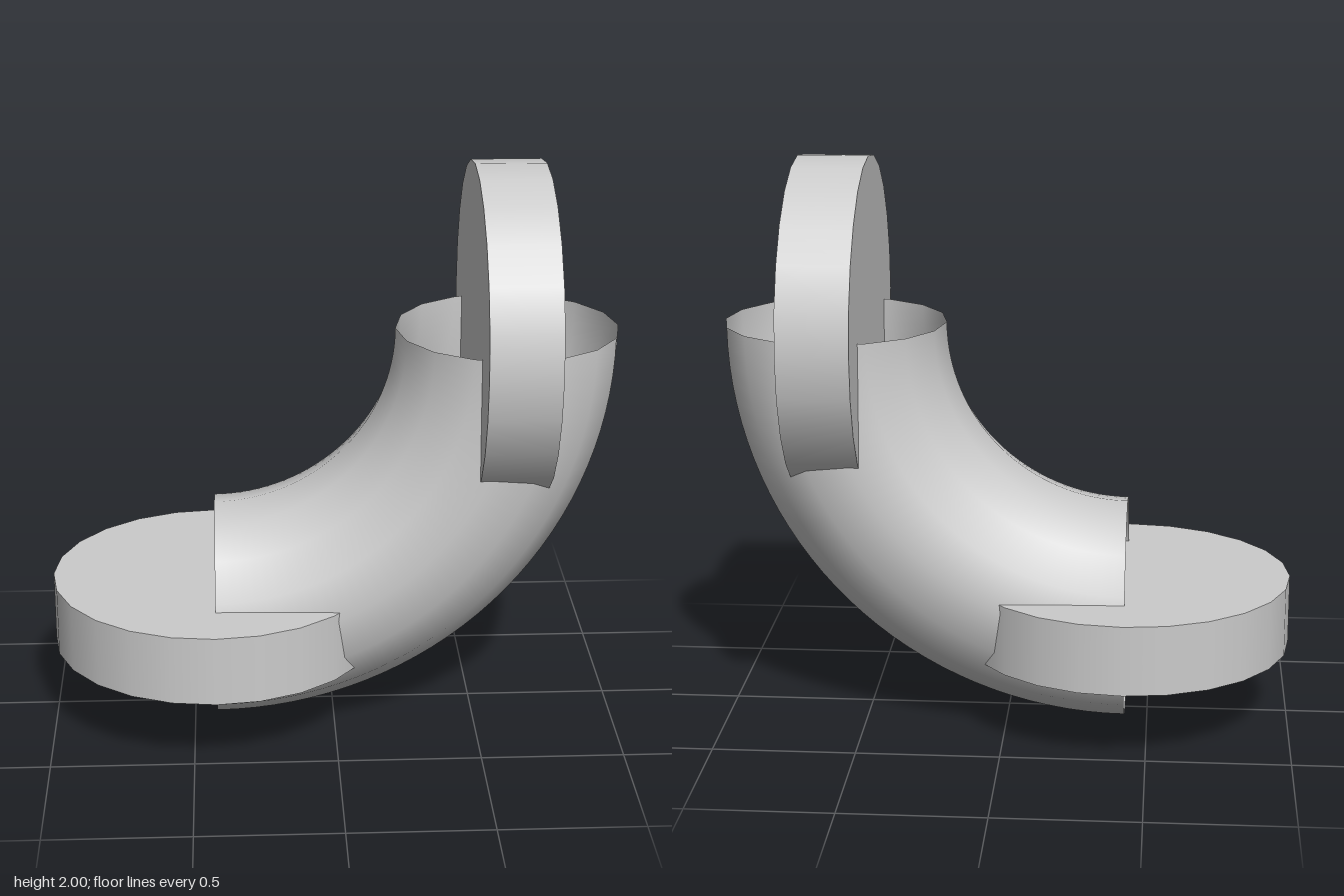
import * as THREE from 'three';

export function createModel() {
  const model = new THREE.Group();
  const material = new THREE.MeshStandardMaterial({ color: 0xcccccc });
  const openMaterial = new THREE.MeshStandardMaterial({ color: 0xcccccc, side: THREE.DoubleSide });

  const bendRadius = 1.03, tubeRadius = 0.39;
  const discRadius = 0.58, discThickness = 0.246;
  const cx = -0.42, cy = 1.42; // centre of the bend

  // Open quarter-turn pipe
  const pipe = new THREE.Mesh(
    new THREE.TorusGeometry(bendRadius, tubeRadius, 16, 32, Math.PI / 2).rotateZ(-Math.PI / 2),
    openMaterial
  );
  pipe.name = 'elbowPipe';
  pipe.position.set(cx, cy, 0);
  model.add(pipe);

  // A disc set into each pipe mouth, lying along the pipe's axis
  const addDisc = (name, x, y, tilt) => {
    const disc = new THREE.Mesh(new THREE.CylinderGeometry(discRadius, discRadius, discThickness, 24), material);
    disc.name = name;
    disc.position.set(x, y, 0);
    disc.rotation.z = tilt;
    model.add(disc);
  };
  addDisc('lowerDisc', cx, cy - bendRadius, 0);
  addDisc('upperDisc', cx + bendRadius, cy, Math.PI / 2);

  return model;
}
